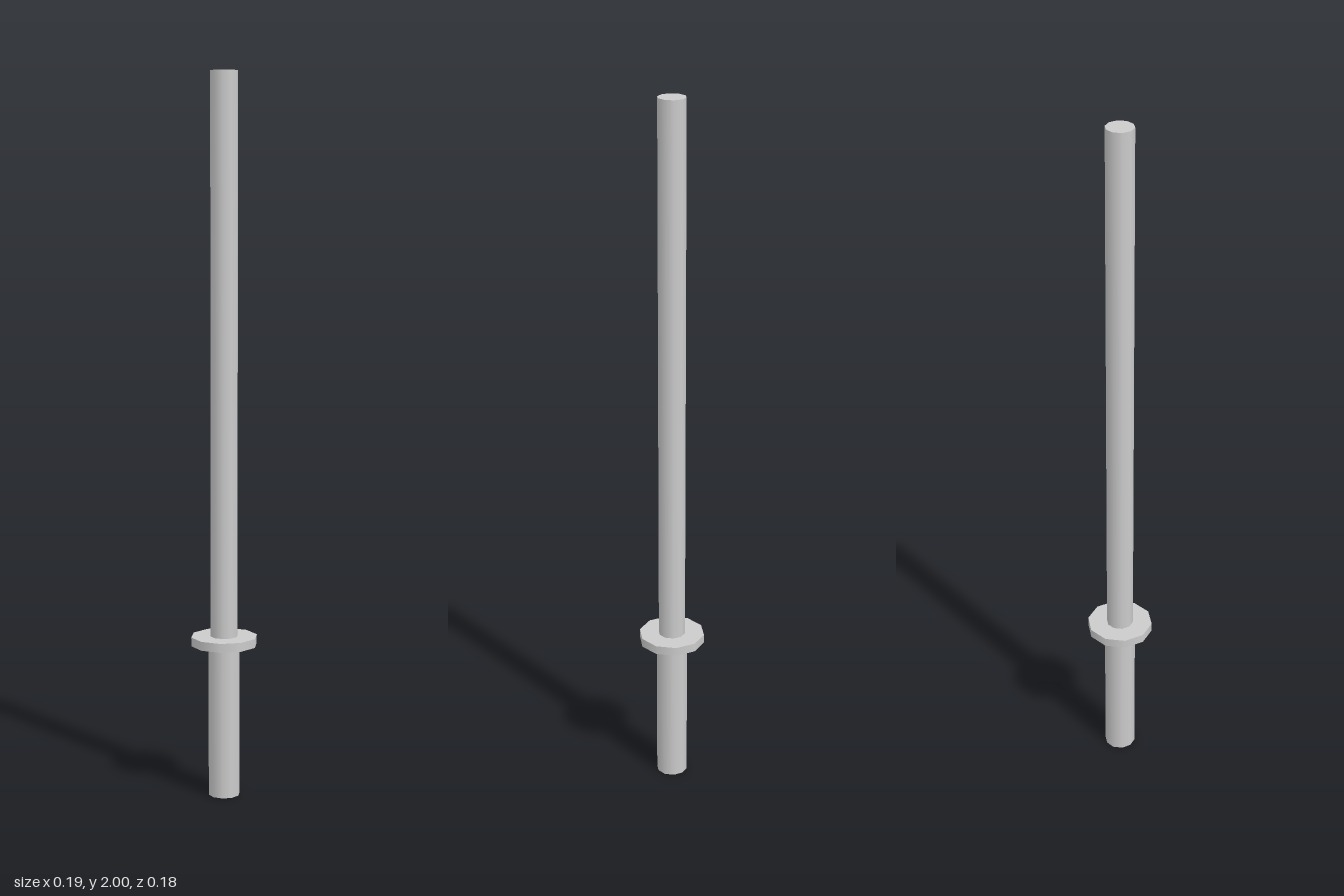
import * as THREE from 'three';

const SIDES = 10;

export function createModel() {
  const group = new THREE.Group();
  const material = new THREE.MeshStandardMaterial({ color: 0xcccccc });

  // Upright ten-sided rod from y0 to y1, with corners on the x axis
  const addRod = (name, radius, y0, y1) => {
    const geometry = new THREE.CylinderGeometry(radius, radius, y1 - y0, SIDES, 1, false, Math.PI / 2);
    const mesh = new THREE.Mesh(geometry, material);
    mesh.name = name;
    mesh.position.y = (y0 + y1) / 2;
    group.add(mesh);
  };

  addRod('handle', 0.044, 0, 0.43);
  addRod('guard', 0.093, 0.43, 0.455);
  addRod('blade', 0.038, 0.455, 2);

  return group;
}
